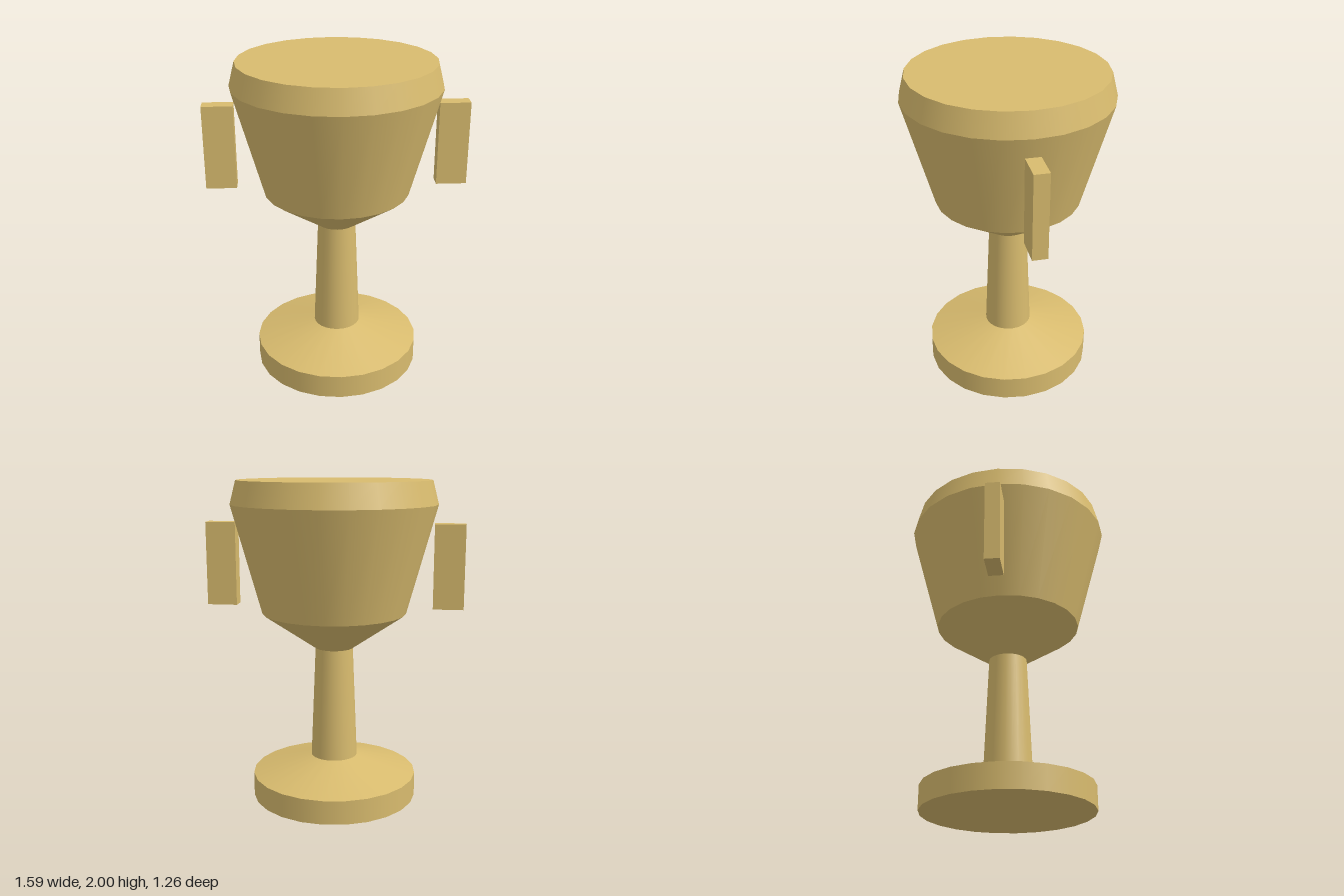
import * as THREE from 'three';

const SIDES = 24;

export function createModel() {
  const gold = new THREE.MeshStandardMaterial({ color: 0xd8bb6e });
  gold.name = 'gold';
  const model = new THREE.Group();
  model.name = 'trophyCup';

  const add = (name, geometry, x, y) => {
    const mesh = new THREE.Mesh(geometry, gold);
    mesh.name = name;
    mesh.position.set(x, y, 0);
    model.add(mesh);
    return mesh;
  };

  // Stacked round sections: name, bottom radius, top radius, bottom y, top y
  const sections = [
    ['footRim', 0.52, 0.52, 0, 0.15],
    ['footSlope', 0.52, 0.147, 0.15, 0.26],
    ['stem', 0.147, 0.118, 0.26, 0.965],
    ['bowlBottom', 0.118, 0.447, 0.965, 1.19],
    ['bowl', 0.447, 0.63, 1.19, 1.857],
    ['bowlRim', 0.63, 0.593, 1.857, 2],
  ];
  for (const [name, r0, r1, y0, y1] of sections) {
    add(name, new THREE.CylinderGeometry(r1, r0, y1 - y0, SIDES, 1, true), 0, (y0 + y1) / 2);
  }

  // Flat end faces, with corners aligned to the round sections
  add('lid', new THREE.CircleGeometry(0.593, SIDES).rotateX(-Math.PI / 2), 0, 2);
  add('footUnderside', new THREE.CircleGeometry(0.52, SIDES).rotateX(Math.PI / 2), 0, 0);

  // Block handles standing just clear of the bowl
  for (const [name, side] of [['leftHandle', 1], ['rightHandle', -1]]) {
    add(name, new THREE.BoxGeometry(0.186, 0.515, 0.09), side * 0.703, 1.486);
  }

  return model;
}
